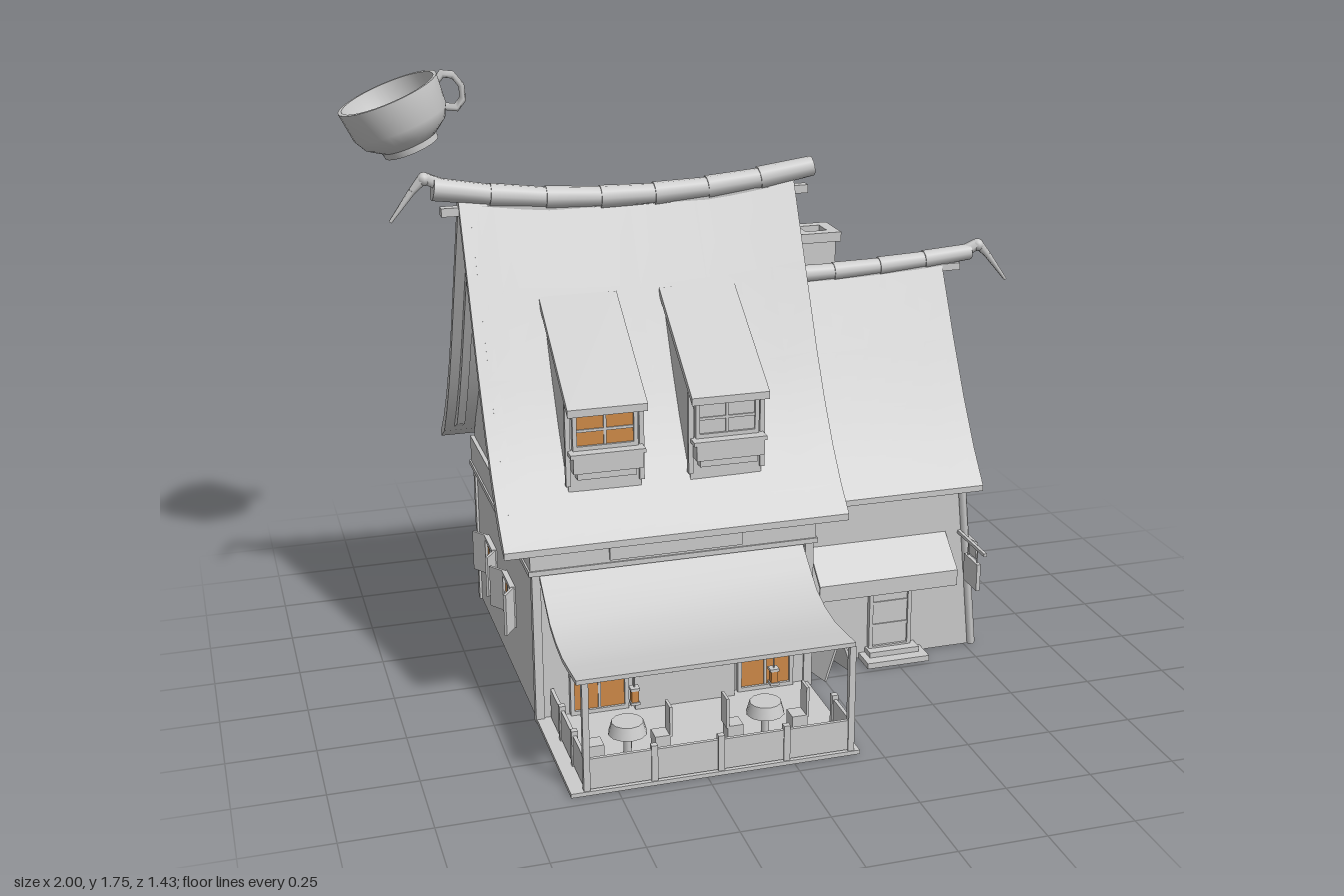
import * as THREE from 'three';
import { toCreasedNormals } from 'three/addons/utils/BufferGeometryUtils.js';

export function createModel() {
  const model = new THREE.Group();
  const stone = new THREE.MeshStandardMaterial({ color: 0xcccccc });
  stone.name = 'paleGrey';
  const glow = new THREE.MeshStandardMaterial({ color: 0xcf8a48 });
  glow.name = 'warmGlass';

  const add = (parent, name, geo, mat = stone) => {
    const m = new THREE.Mesh(geo, mat);
    m.name = name;
    parent.add(m);
    return m;
  };
  const group = (parent, name, x = 0, y = 0, z = 0, ry = 0) => {
    const g = new THREE.Group();
    g.name = name;
    g.position.set(x, y, z);
    g.rotation.y = ry;
    parent.add(g);
    return g;
  };
  const box = (parent, name, w, h, d, x, y, z, mat = stone) => {
    const m = add(parent, name, new THREE.BoxGeometry(w, h, d), mat);
    m.position.set(x, y, z);
    return m;
  };
  // tapered round bar between two points
  const rod = (parent, name, a, b, ra, rb = ra, sides = 8) => {
    const A = new THREE.Vector3(...a), B = new THREE.Vector3(...b);
    const m = add(parent, name, new THREE.CylinderGeometry(rb, ra, A.distanceTo(B), sides));
    m.position.copy(A).lerp(B, 0.5);
    m.quaternion.setFromUnitVectors(new THREE.Vector3(0, 1, 0), B.clone().sub(A).normalize());
    return m;
  };
  // closed [z, y] ring swept along x; bend(x, y) returns the shifted point [x, y]
  const loft = (parent, name, ring, xs, bend = (x, y) => [x, y]) => {
    const n = ring.length, pos = [], idx = [];
    for (const x of xs) for (const [z, y] of ring) pos.push(...bend(x, y), z);
    for (let i = 0; i < xs.length - 1; i++) for (let j = 0; j < n; j++) {
      const a = i * n + j, b = i * n + (j + 1) % n;
      idx.push(a, b, a + n, b, b + n, a + n);
    }
    const last = (xs.length - 1) * n;
    const flat = ring.map(([z, y]) => new THREE.Vector2(-z, y));
    for (const [a, b, c] of THREE.ShapeUtils.triangulateShape(flat, [])) {
      idx.push(a + last, b + last, c + last, a, c, b);
    }
    const g = new THREE.BufferGeometry();
    g.setAttribute('position', new THREE.Float32BufferAttribute(pos, 3));
    g.setIndex(idx);
    return add(parent, name, toCreasedNormals(g, 0.45));
  };
  // thin sheet from its top line, listed back to front
  const sheet = (parent, name, top, t, x0, x1) =>
    loft(parent, name, [...top, ...top.map(([z, y]) => [z, y - t]).reverse()], [x0, x1]);
  const span = (a, b, n) => Array.from({ length: n + 1 }, (_, i) => a + (b - a) * i / n);

  // roofs: half profiles [distance from ridge, height]
  const RZ = -0.185;
  const mainP = [[0.53, 0.565], [0.46, 0.635], [0.385, 0.73], [0.31, 0.845], [0.24, 0.97], [0.12, 1.215], [0, 1.46]];
  const sideP = [[0.378, 0.54], [0.3, 0.635], [0.215, 0.76], [0.12, 0.92], [0, 1.14]];
  const arch = (p, drop) => [
    ...p.map(([d, y], i) => [RZ - d, y - (i ? drop : drop * 0.4)]),
    ...p.slice(0, -1).reverse().map(([d, y]) => [RZ + d, y - (d === p[0][0] ? drop * 0.4 : drop)]),
  ];
  const roofRing = (p, t) => [...arch(p, 0), ...arch(p, t).reverse()];
  const mainBend = (x, y) => [x, y - 0.05 * Math.max(0, (y - 0.565) / 0.9) * (1 - ((x + 0.22) / 0.5) ** 2)];
  const sideBend = (x, y) => [x, y + 0.02 * Math.max(0, (y - 0.54) / 0.6) * ((x - 0.28) / 0.5) ** 2];
  loft(model, 'mainRoof', roofRing(mainP, 0.05), span(-0.72, 0.285, 10), mainBend);
  loft(model, 'sideRoof', roofRing(sideP, 0.045), span(0.2, 0.775, 6), sideBend);
  for (const x of [-0.69, 0.225]) loft(model, 'mainBargeBoard', roofRing(mainP.slice(1), 0.1), [x, x + 0.025], mainBend);
  loft(model, 'sideBargeBoard', roofRing(sideP.slice(1), 0.085), [0.735, 0.755], sideBend);

  // walls
  const mainWall = [[0.27, 0], [-0.635, 0], ...arch([[0.45, 0.6], ...mainP.slice(2)], 0.04)];
  loft(model, 'mainWalls', mainWall, span(-0.625, 0.2, 6), mainBend);
  box(model, 'wallBand', 0.845, 0.09, 0.93, -0.215, 0.515, -0.183);
  box(model, 'bandMoulding', 0.855, 0.015, 0.94, -0.215, 0.468, -0.183);
  for (const x of [-0.62, 0.19]) for (const z of [0.265, -0.63]) {
    box(model, 'cornerPost', 0.025, 0.47, 0.025, x, 0.235, z);
  }
  const flare = (x, y) => [x > 0.7 ? x + 0.055 * (1 - y / 0.54) : x, y];
  loft(model, 'sideWalls', [[0.155, 0], [-0.525, 0], [-0.52, 0.54], [0.15, 0.54]], [0.15, 0.725], flare);
  loft(model, 'sideGable', arch([[0.34, 0.56], ...sideP.slice(1)], 0.035), [0.15, 0.725], sideBend);
  for (const z of [0.155, -0.525]) rod(model, 'sideCornerPost', [0.775, 0, z], [0.722, 0.54, z], 0.013, 0.013, 4);

  // ridge caps, ridge beams and curled finials
  const ridge = (x0, x1, n, r, f) => {
    const xs = span(x0, x1, n);
    for (let i = 0; i < n; i++) {
      rod(model, 'ridgeTile', [xs[i], f(xs[i]), RZ], [xs[i + 1] + 0.006, f(xs[i + 1]), RZ], r, r * 0.88, 10);
    }
  };
  ridge(-0.79, 0.34, 7, 0.034, (x) => 1.418 + 0.055 * ((x + 0.22) / 0.57) ** 2);
  ridge(0.27, 0.865, 4, 0.028, (x) => 1.138 + 0.03 * ((x - 0.28) / 0.58) ** 2);
  box(model, 'mainRidgeBeam', 1.1, 0.025, 0.03, -0.22, 1.405, RZ).visible = true;
  box(model, 'sideRidgeBeam', 0.5, 0.022, 0.028, 0.585, 1.127, RZ);
  const finial = (x, y, s) => {
    const g = group(model, 'finial', x, y, RZ);
    const pts = [[-0.01, 0, 0.02], [0.035, 0.022, 0.017], [0.07, -0.015, 0.011], [0.135, -0.1, 0.005]];
    for (let i = 0; i < 3; i++) {
      const [a, b, r] = pts[i], [c, d, q] = pts[i + 1];
      rod(g, 'finialHorn', [a * s, b, 0], [c * s, d, 0], r, q, 6);
    }
    add(g, 'finialKnob', new THREE.SphereGeometry(0.02, 8, 6)).position.set(0.035 * s, 0.018, 0);
  };
  finial(0.862, 1.17, 1);
  finial(-0.778, 1.485, -1);

  // chimney
  box(model, 'chimney', 0.11, 0.6, 0.12, 0.42, 0.91, -0.375);
  for (const s of [-1, 1]) {
    box(model, 'chimneyCap', 0.14, 0.03, 0.035, 0.42, 1.215, -0.375 + s * 0.052);
    box(model, 'chimneyCap', 0.035, 0.03, 0.14, 0.42 + s * 0.052, 1.215, -0.375);
  }

  // framed window facing +z, with optional open shutters
  const windowUnit = (parent, w, h, x, y, z, ry, { shutters = 0, mat = glow, cols = 2, rows = 2 } = {}) => {
    const g = group(parent, 'window', x, y, z, ry);
    box(g, 'glass', w, h, 0.008, 0, 0, 0.004, mat);
    for (const s of [-1, 1]) {
      box(g, 'frameSide', 0.012, h + 0.012, 0.02, s * w / 2, 0, 0.006);
      box(g, 'frameRail', w + 0.012, 0.012, 0.02, 0, s * h / 2, 0.006);
      if (shutters) {
        const hinge = group(g, 'shutter', s * (w / 2 + 0.006), 0, 0.008, -s * 0.6);
        box(hinge, 'shutterPanel', shutters, h + 0.01, 0.008, s * shutters / 2, 0, 0);
      }
    }
    for (let i = 1; i < cols; i++) box(g, 'mullion', 0.008, h, 0.014, -w / 2 + w * i / cols, 0, 0.005);
    for (let i = 1; i < rows; i++) box(g, 'crossbar', w, 0.008, 0.014, 0, -h / 2 + h * i / rows, 0.005);
    return g;
  };
  for (const x of [-0.4, -0.03]) windowUnit(model, 0.115, 0.115, x, 0.21, -0.635, Math.PI, { shutters: 0.055 });
  for (const z of [-0.375, -0.085]) windowUnit(model, 0.115, 0.12, -0.625, 0.232, z, -Math.PI / 2, { shutters: 0.06 });
  windowUnit(model, 0.2, 0.1, 0.725, 0.772, RZ, Math.PI / 2, { mat: stone, cols: 3 });
  const round = group(model, 'roundWindow', -0.626, 1.0, RZ, -Math.PI / 2);
  add(round, 'roundGlass', new THREE.CylinderGeometry(0.065, 0.065, 0.008, 20).rotateX(Math.PI / 2), glow);
  add(round, 'roundFrame', new THREE.TorusGeometry(0.068, 0.01, 6, 20));
  box(round, 'mullion', 0.008, 0.13, 0.014, 0, 0, 0.002);
  box(round, 'crossbar', 0.13, 0.008, 0.014, 0, 0, 0.002);

  // dormers with flower boxes
  [[-0.407, glow], [-0.052, stone]].forEach(([x, mat]) => {
    const g = group(model, 'dormer', x, 0, 0);
    loft(g, 'dormerBody', [[-0.03, 1.12], [0.235, 0.95], [0.235, 0.66], [0, 0.85]], [-0.105, 0.105]);
    sheet(g, 'dormerRoof', [[-0.055, 1.17], [0.285, 0.938]], 0.022, -0.114, 0.114);
    windowUnit(g, 0.175, 0.1, 0, 0.862, 0.236, 0, { mat });
    box(g, 'flowerBox', 0.2, 0.045, 0.045, 0, 0.772, 0.262);
    box(g, 'windowSill', 0.215, 0.012, 0.05, 0, 0.8, 0.26);
    box(g, 'boxBase', 0.17, 0.025, 0.03, 0, 0.737, 0.25);
    for (const s of [-1, 1]) box(g, 'dormerPost', 0.014, 0.24, 0.016, s * 0.106, 0.82, 0.236);
  });

  // shop front and terrace
  box(model, 'nameBoard', 0.39, 0.07, 0.012, -0.215, 0.52, 0.286);
  for (const x of [-0.447, 0.055]) {
    windowUnit(model, 0.16, 0.3, x, 0.17, 0.272, 0, { rows: 3 });
  }
  box(model, 'shopCounter', 0.3, 0.11, 0.03, -0.195, 0.06, 0.285);
  box(model, 'terraceFloor', 0.82, 0.012, 0.45, -0.22, 0.006, 0.487);
  sheet(model, 'terraceAwning', [[0.265, 0.465], [0.33, 0.415], [0.4, 0.365], [0.47, 0.343], [0.55, 0.333], [0.63, 0.338], [0.715, 0.345]], 0.013, -0.61, 0.17);
  for (const x of [-0.585, 0.165]) box(model, 'awningPost', 0.018, 0.33, 0.018, x, 0.165, 0.7);
  box(model, 'frontFence', 0.75, 0.09, 0.01, -0.21, 0.06, 0.7);
  box(model, 'leftFence', 0.01, 0.09, 0.42, -0.585, 0.06, 0.49);
  box(model, 'rightFence', 0.01, 0.09, 0.13, 0.165, 0.06, 0.635);
  for (const x of span(-0.585, 0.165, 4)) box(model, 'fencePost', 0.018, 0.118, 0.018, x, 0.059, 0.7);
  for (const z of [0.41, 0.56]) box(model, 'fencePost', 0.018, 0.118, 0.018, -0.585, 0.059, z);
  box(model, 'fencePost', 0.018, 0.118, 0.018, 0.165, 0.059, 0.57);
  for (const x of [-0.43, -0.03]) {
    const t = group(model, 'tableSet', x, 0.012, 0.54);
    add(t, 'tableCloth', new THREE.CylinderGeometry(0.045, 0.055, 0.035, 12)).position.y = 0.082;
    rod(t, 'tableLeg', [0, 0, 0], [0, 0.07, 0], 0.012);
    for (const s of [-1, 1]) {
      box(t, 'chairSeat', 0.045, 0.05, 0.05, s * 0.095, 0.025, 0);
      box(t, 'chairBack', 0.008, 0.09, 0.05, s * 0.118, 0.09, 0);
    }
    const l = group(model, 'lantern', x + 0.015, 0.2, 0.565);
    box(l, 'lanternGlass', 0.02, 0.035, 0.02, 0, 0, 0, glow);
    for (const s of [-1, 1]) box(l, 'lanternCap', 0.026, 0.008, 0.026, 0, s * 0.021, 0);
    rod(l, 'lanternCord', [0, 0.02, 0], [0, 0.13, 0], 0.002, 0.002, 4);
  }

  // side entrance
  sheet(model, 'doorAwning', [[0.15, 0.387], [0.252, 0.3]], 0.012, 0.235, 0.675);
  box(model, 'doorValance', 0.44, 0.04, 0.008, 0.455, 0.27, 0.248);
  windowUnit(model, 0.125, 0.22, 0.495, 0.145, 0.155, 0, { mat: stone, cols: 1, rows: 3 });
  box(model, 'upperStep', 0.16, 0.035, 0.05, 0.5, 0.0175, 0.175);
  box(model, 'lowerStep', 0.2, 0.018, 0.09, 0.5, 0.009, 0.19);
  const easel = group(model, 'sidewalkBoard', 0.285, 0, 0.22, 0.25);
  for (const s of [-1, 1]) {
    const p = box(easel, 'boardPanel', 0.008, 0.14, 0.1, s * 0.028, 0.07, 0);
    p.rotation.z = s * 0.36;
  }
  box(model, 'signArm', 0.01, 0.01, 0.2, 0.72, 0.38, 0.245);
  box(model, 'hangingSign', 0.012, 0.085, 0.095, 0.72, 0.29, 0.257);
  for (const z of [0.225, 0.29]) rod(model, 'signChain', [0.72, 0.33, z], [0.72, 0.38, z], 0.002, 0.002, 4);

  // gable window with its own awning
  const bay = group(model, 'gableWindow', 0.74, 0, RZ, Math.PI / 2);
  sheet(bay, 'gableAwning', [[0, 0.322], [0.142, 0.24]], 0.01, -0.132, 0.132);
  box(bay, 'gableValance', 0.264, 0.055, 0.007, 0, 0.212, 0.14);
  windowUnit(bay, 0.125, 0.12, 0, 0.178, 0.02, 0, { shutters: 0.06 }).rotation.x = -0.1;

  // tilted cup floating by the roof
  const cup = group(model, 'cup', -0.793, 1.525, -0.54);
  cup.rotation.z = 0.37;
  const bowl = [[0, 0], [0.085, 0], [0.088, 0.02], [0.1, 0.028], [0.13, 0.05], [0.148, 0.085], [0.157, 0.178], [0.146, 0.178], [0.137, 0.09], [0.118, 0.055], [0, 0.038]];
  const bowlGeo = new THREE.LatheGeometry(bowl.map((p) => new THREE.Vector2(...p)), 32);
  add(cup, 'cupBowl', toCreasedNormals(bowlGeo, 0.6));
  const handle = add(cup, 'cupHandle', new THREE.TorusGeometry(0.05, 0.012, 4, 8));
  handle.position.set(0.17, 0.11, 0);
  handle.scale.set(0.8, 1.1, 1.4);
  return model;
}
